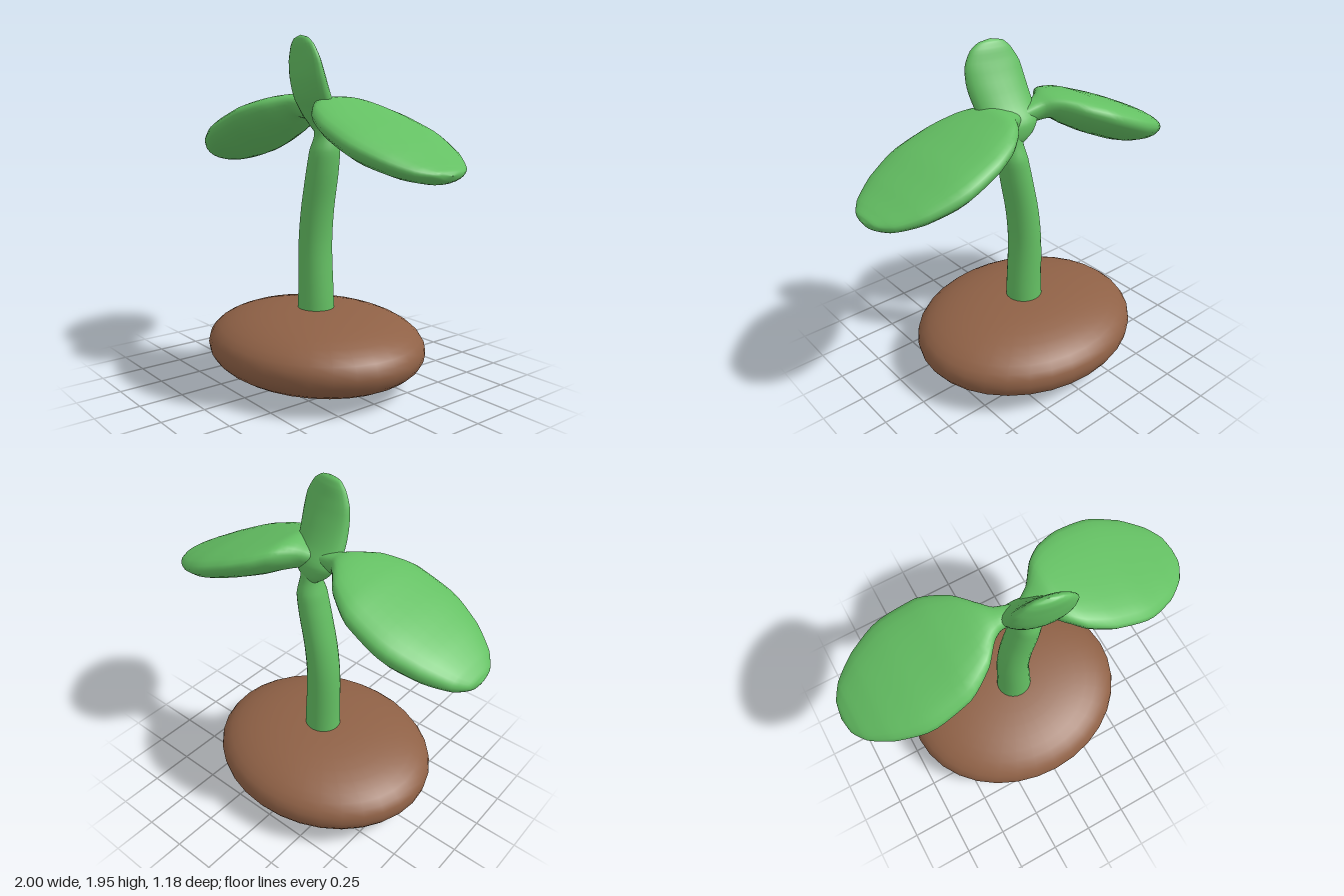
import * as THREE from 'three';

const green = new THREE.MeshStandardMaterial({ color: 0x64c063 });
green.name = 'leaf green';
const brown = new THREE.MeshStandardMaterial({ color: 0x8f6146 });
brown.name = 'soil brown';

// Smooth skin over elliptical sections [cx, cy, cz, half size u, half size z],
// listed along rising x (u is y) or rising y (u is x).
// Bend raises the rim of an x section, or turns a y section about the upright axis.
function loft(axis, sections, bend = 0, sides = 24, steps = 4) {
  const centres = new THREE.CatmullRomCurve3(sections.map(s => new THREE.Vector3(s[0], s[1], s[2])));
  const sizes = new THREE.CatmullRomCurve3(sections.map(s => new THREE.Vector3(s[3], s[4], 0)));
  const n = (sections.length - 1) * steps;
  const pos = [], idx = [];
  for (let i = 0; i <= n; i++) {
    const c = centres.getPoint(i / n), r = sizes.getPoint(i / n);
    const u = Math.max(r.x, 0), v = Math.max(r.y, 0);
    for (let j = 0; j < sides; j++) {
      const a = (j / sides) * Math.PI * 2, cos = Math.cos(a), sin = Math.sin(a);
      if (axis === 'y') pos.push(c.x + u * cos, c.y, c.z + v * sin + bend * u * cos);
      else pos.push(c.x, c.y + u * (sin + bend * cos * cos), c.z + v * cos);
      if (i === n) continue;
      const p = i * sides + j, q = i * sides + (j + 1) % sides;
      idx.push(p, p + sides, q, q, p + sides, q + sides);
    }
  }
  const g = new THREE.BufferGeometry();
  g.setAttribute('position', new THREE.Float32BufferAttribute(pos, 3));
  g.setIndex(idx);
  g.computeVertexNormals();
  return g;
}

export function createModel() {
  const group = new THREE.Group();
  const add = (name, geometry, material) => {
    const mesh = new THREE.Mesh(geometry, material);
    mesh.name = name;
    group.add(mesh);
    return mesh;
  };

  // Flattened soil mound, a little fuller than an ellipsoid
  const profile = [];
  for (let i = 0; i <= 20; i++) {
    const a = (i / 20 - 0.5) * Math.PI, s = Math.sin(a);
    profile.push(new THREE.Vector2(Math.max(Math.cos(a), 0) ** 0.92, Math.sign(s) * Math.abs(s) ** 0.92));
  }
  const mound = add('soilMound', new THREE.LatheGeometry(profile, 32), brown);
  mound.scale.set(0.685, 0.215, 0.588);
  mound.position.set(-0.015, 0.215, 0);

  // Bent stem with a pinched neck
  add('stem', loft('y', [
    [-0.005, 0.36, 0, 0.11, 0.106],
    [-0.005, 0.5, 0, 0.105, 0.102],
    [-0.01, 0.8, 0, 0.095, 0.098],
    [0.01, 1.0, 0, 0.092, 0.096],
    [0.05, 1.2, 0, 0.088, 0.095],
    [0.073, 1.33, 0, 0.08, 0.09],
    [0.078, 1.42, 0, 0.06, 0.062],
    [0.075, 1.5, 0.01, 0.055, 0.055],
  ]), green);

  // Top leaf, tipped forward and growing out of the joint
  add('topLeaf', loft('y', [
    [0.075, 1.41, 0, 0.045, 0.04],
    [0.07, 1.47, 0.005, 0.115, 0.065],
    [0.065, 1.54, 0.03, 0.155, 0.085],
    [0.07, 1.62, 0.08, 0.165, 0.082],
    [0.08, 1.72, 0.122, 0.168, 0.07],
    [0.085, 1.82, 0.148, 0.158, 0.05],
    [0.085, 1.9, 0.163, 0.115, 0.034],
    [0.08, 1.935, 0.167, 0.07, 0.02],
    [0.08, 1.95, 0.168, 0, 0],
  ], 0.16), green);

  // Broad drooping side leaves: [x, top y, bottom y, half width, z]
  const leaf = rows => loft('x', rows.map(([x, t, b, w, z = -0.008]) =>
    [x, (t + b) / 2, z, (t - b) / 2, w]), 0.3);
  add('rightLeaf', leaf([
    [-1.0, 1.275, 1.275, 0],
    [-0.985, 1.305, 1.245, 0.09],
    [-0.93, 1.355, 1.222, 0.175],
    [-0.8, 1.435, 1.228, 0.265],
    [-0.6, 1.525, 1.28, 0.325],
    [-0.4, 1.6, 1.37, 0.305],
    [-0.25, 1.638, 1.455, 0.215],
    [-0.16, 1.645, 1.51, 0.11],
    [-0.09, 1.625, 1.505, 0.06, 0.005],
    [0.03, 1.59, 1.48, 0.055, 0.025],
  ]), green);
  add('leftLeaf', leaf([
    [0.03, 1.58, 1.48, 0.055, 0.025],
    [0.11, 1.61, 1.475, 0.09, 0.005],
    [0.19, 1.63, 1.45, 0.185],
    [0.28, 1.605, 1.405, 0.26],
    [0.42, 1.555, 1.345, 0.315],
    [0.6, 1.485, 1.275, 0.333],
    [0.8, 1.39, 1.228, 0.275],
    [0.93, 1.322, 1.222, 0.18],
    [0.985, 1.292, 1.243, 0.09],
    [1.0, 1.27, 1.27, 0],
  ]), green);

  return group;
}
